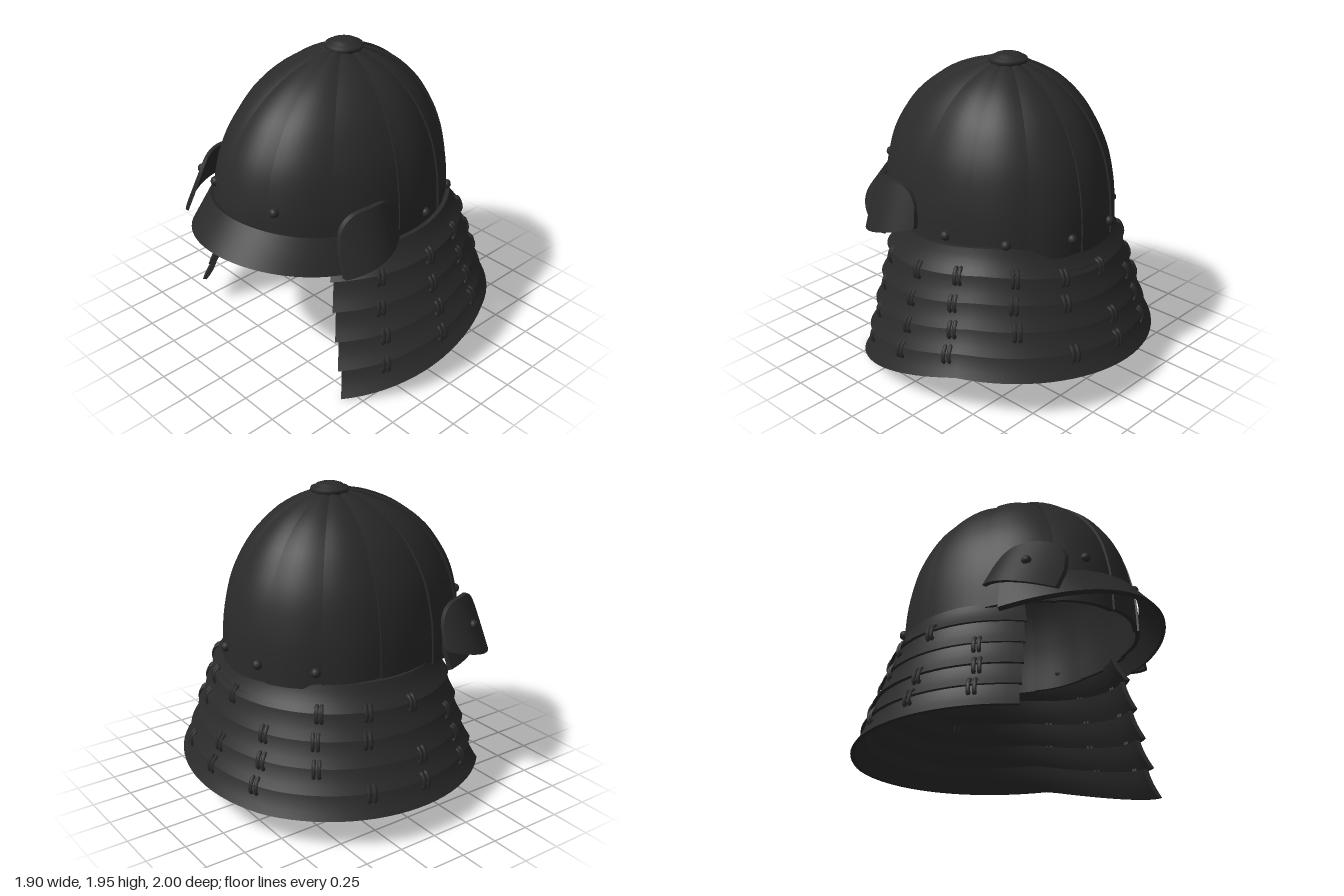
import * as THREE from 'three';
import { toCreasedNormals } from 'three/addons/utils/BufferGeometryUtils.js';

const iron = new THREE.MeshStandardMaterial({ color: 0x2a2a2a, side: THREE.DoubleSide });
iron.name = 'dark iron';
const { lerp, degToRad, smoothstep } = THREE.MathUtils;

function add(parent, name, geometry) {
  const mesh = new THREE.Mesh(geometry, iron);
  mesh.name = name;
  parent.add(mesh);
  return mesh;
}

// Sweeps a closed profile loop (outer half, then inner half reversed) along u = 0..1, with capped ends.
function loft(steps, loop, place) {
  const n = loop.length, rows = [], tri = [];
  for (let i = 0; i <= steps; i++) rows.push(loop.map(([a, b]) => new THREE.Vector3(...place(i / steps, a, b))));
  const quad = (a, b, c, d) => tri.push(a, b, c, a, c, d);
  for (let i = 0; i < steps; i++) {
    for (let j = 0; j < n; j++) {
      const k = (j + 1) % n;
      quad(rows[i][j], rows[i][k], rows[i + 1][k], rows[i + 1][j]);
    }
  }
  for (let j = 0; j < n / 2 - 1; j++) {
    const [s, e] = [rows[0], rows[steps]];
    quad(s[j], s[n - 1 - j], s[n - 2 - j], s[j + 1]);
    quad(e[j], e[j + 1], e[n - 2 - j], e[n - 1 - j]);
  }
  // Turn the shell outward if its signed volume is negative
  let volume = 0;
  const cross = new THREE.Vector3();
  for (let i = 0; i < tri.length; i += 3) volume += tri[i].dot(cross.crossVectors(tri[i + 1], tri[i + 2]));
  if (volume < 0) tri.reverse();
  const geometry = new THREE.BufferGeometry().setFromPoints(tri);
  return toCreasedNormals(geometry, degToRad(38));
}

// Profile loop with `count` samples across and a given thickness
function slab(count, thickness, bulge = () => 0) {
  const outer = [], inner = [];
  for (let i = 0; i < count; i++) {
    const a = i / (count - 1);
    outer.push([a, bulge(a)]);
    inner.unshift([a, bulge(a) - thickness]);
  }
  return [...outer, ...inner];
}

// Bowl outline: narrower behind than in front
const bowlCurve = new THREE.SplineCurve([
  [1.01, 0.9], [1, 1.08], [0.975, 1.22], [0.92, 1.38], [0.83, 1.52],
  [0.695, 1.66], [0.495, 1.785], [0.265, 1.87], [0.06, 1.91],
].map(p => new THREE.Vector2(...p)));

function bowlPoint(u, angle, depth) {
  const p = bowlCurve.getPoint(u);
  const s = Math.sin(angle), c = Math.cos(angle);
  const r = p.x + depth * Math.min(1, p.x * 2);
  return [-0.025 + 0.62 * r * s, p.y + depth * 0.5 * u, -0.05 + (c > 0 ? 0.865 : 0.67) * r * c];
}

// Neck guard: tier t = 0..1, leaning and sagging towards the left front
function neckPoint(t, phi, r, y) {
  const x = -0.01 + lerp(1.03, 1, t) * r * Math.cos(phi);
  const squash = x > 0 && phi < 0 ? lerp(1, 0.93, t) : 1;
  const z = -0.05 - squash * r * Math.sin(phi);
  const sag = 0.26 * (0.4 + 0.6 * t) * Math.max(0, z + 0.45) * smoothstep(x, 0, 0.35);
  const lift = 0.07 * (1 - t) * smoothstep(x, 0, 0.7);
  return [x, y + 0.06 * t * Math.max(x, -0.5) - sag + lift, z];
}

// Each lame: top radius, bottom radius, top height, bottom height
const tiers = [
  [0.655, 0.735, 0.93, 0.785], [0.715, 0.785, 0.815, 0.64], [0.765, 0.84, 0.67, 0.5],
  [0.815, 0.895, 0.53, 0.365], [0.87, 0.95, 0.4, 0.235],
];

function addNeckGuard(group) {
  const laces = [-28, -1, 21, 47, 70, 92, 115, 138, 160, 183, 208];
  tiers.forEach(([r0, r1, y0, y1], i) => {
    const t = i / 4;
    const start = degToRad(lerp(-50, -46, t)), end = degToRad(lerp(229, 224, t));
    const profile = slab(5, 0.028, a => -0.01 * Math.sin(a * Math.PI));
    add(group, 'neckGuardLame', loft(64, profile, (u, a, d) =>
      neckPoint(t, lerp(start, end, u), lerp(r0, r1, a) + d, lerp(y0, y1, a))));
    if (i === 0) return;
    // Paired cord loops binding each lame to the one above
    const [, rPrev, , yPrev] = tiers[i - 1];
    laces.forEach((deg, k) => {
      if ((k + i) % 4 === 3 && k > 2) return;
      for (const shift of [-1.1, 1.1]) {
        const phi = degToRad(deg + shift + (i % 2));
        const lace = add(group, 'lace', new THREE.TorusGeometry(0.042, 0.013, 6, 12));
        lace.position.set(...neckPoint(t - 0.12, phi, rPrev - 0.012, yPrev - 0.005));
        lace.scale.set(0.55, 1.1, 1);
        lace.rotation.set(0, phi, 0.3);
      }
    });
  });
}

// Rounded side plate flaring out at the bottom; turn and shift swing it forward
function flapPoint({ side, flare, turn, shift, rise }, u, a, d) {
  const z = lerp(0.1, 0.54, u);
  const arch = Math.sqrt(Math.max(0, 1 - Math.abs(2 * u - 1) ** 3));
  const top = 0.99 + 0.24 * arch;
  const y = lerp(top, lerp(0.97, 0.85, u), a);
  const x = 0.62 + (1.23 - y) * flare - 1.8 * (z - 0.3) ** 2 - turn * (z - 0.1) + d;
  return [side * x, y + rise, z + shift];
}

const leftFlap = { side: 1, flare: 0.33, turn: 0, shift: 0, rise: 0 };
const rightFlap = { side: -1, flare: 0.55, turn: 0.33, shift: 0.23, rise: 0.025 };

export function createModel() {
  const helmet = new THREE.Group();
  helmet.name = 'helmet';

  // Bowl of overlapping plates
  const bowl = new THREE.Group();
  bowl.name = 'bowl';
  const count = 12;
  for (let k = 0; k < count; k++) {
    const profile = slab(7, 0.035, a => 0.018 * (1 - a) + 0.012 * Math.sin(a * Math.PI));
    add(bowl, 'bowlPlate', loft(28, profile, (u, a, d) =>
      bowlPoint(u, degToRad(-8 + (k + a * 1.02) * 360 / count), d)));
  }
  helmet.add(bowl);

  // Crown button
  const button = add(helmet, 'crownButton', new THREE.LatheGeometry([
    [0.1, 1.88], [0.118, 1.908], [0.112, 1.925], [0.088, 1.928], [0.08, 1.942], [0.05, 1.952], [0.001, 1.955],
  ].map(p => new THREE.Vector2(...p)), 32));
  button.position.set(-0.02, 0, -0.06);

  // Sloping visor
  add(helmet, 'visor', loft(40, slab(4, 0.028), (u, a, d) => {
    const angle = degToRad(lerp(-75, 75, u));
    const s = Math.sin(angle) ** 2;
    return [
      -0.01 + (lerp(0.595, 0.66, a) + d) * Math.sin(angle),
      lerp(1.11 - 0.06 * s, 0.94 - 0.1 * s, a) + d * 0.5,
      0.2 + (lerp(0.65, 0.8, a) + d) * Math.cos(angle),
    ];
  }));

  // Side plates, the right one bent forward
  for (const [name, flap] of [['leftSidePlate', leftFlap], ['rightSidePlate', rightFlap]]) {
    add(helmet, name, loft(24, slab(6, 0.03), (u, a, d) => flapPoint(flap, u, a, d)));
  }

  // Rivets round the bowl and on the bent plate
  const rivet = new THREE.SphereGeometry(0.03, 12, 8);
  for (const deg of [-23, 26, 98, 130, 165, 197, 229]) {
    const u = Math.abs(deg) < 30 ? 0.23 : 0.075;
    add(helmet, 'rivet', rivet).position.set(...bowlPoint(u, degToRad(deg), 0.02));
  }
  add(helmet, 'rivet', rivet).position.set(...flapPoint(rightFlap, 0.6, 0.5, 0));

  const neckGuard = new THREE.Group();
  neckGuard.name = 'neckGuard';
  addNeckGuard(neckGuard);
  helmet.add(neckGuard);
  return helmet;
}
